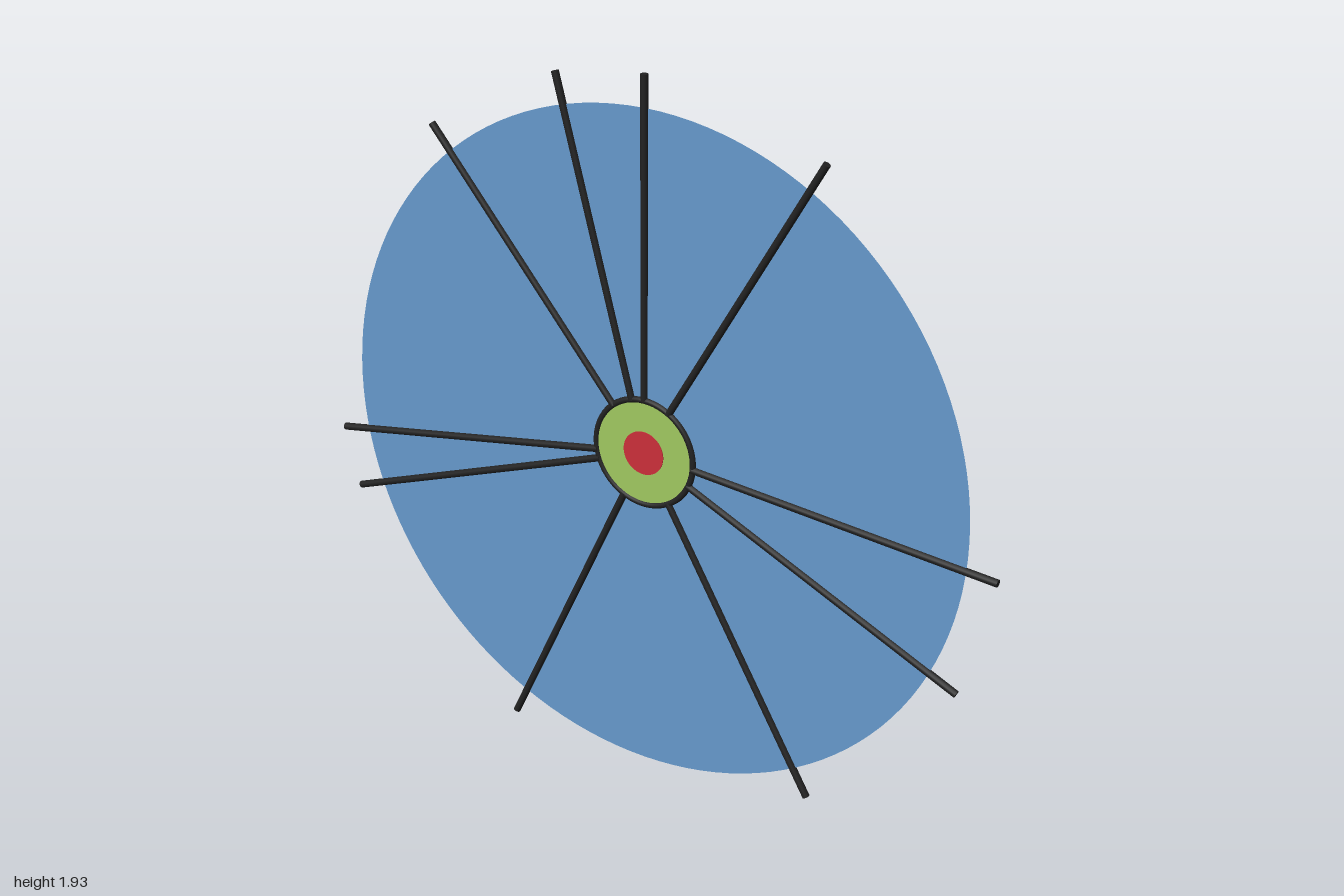
import * as THREE from 'three';

const mat = (color, side = THREE.FrontSide) => new THREE.MeshStandardMaterial({ color, side });

export function createModel() {
  const model = new THREE.Group();
  model.name = 'spokedDisc';
  const wheel = new THREE.Group();
  wheel.name = 'wheel';
  wheel.position.set(-0.006, 0.9225, 0);
  model.add(wheel);

  const add = (name, geometry, material) => {
    const mesh = new THREE.Mesh(geometry, material);
    mesh.name = name;
    wheel.add(mesh);
    return mesh;
  };
  // flat round plate between two depths, facing +z
  const plate = (radius, back, front) =>
    new THREE.CylinderGeometry(radius, radius, front - back, 64)
      .rotateX(Math.PI / 2)
      .translate(0, 0, (back + front) / 2);

  const dark = mat(0x222222);

  // paper-thin main disc
  add('disc', new THREE.CircleGeometry(0.9225, 128), mat(0x6699cc, THREE.DoubleSide));

  // hub with its centre dot and rim
  add('hub', plate(0.15, -0.0083, 0.004), mat(0xa0c860));
  add('centreDot', plate(0.06, -0.0095, 0.006), mat(0xcc2f3a));
  add('hubRing', new THREE.TorusGeometry(0.147, 0.0085, 12, 64), dark);

  // spokes from the hub ring to just beyond the disc edge
  const inner = 0.145, outer = 1.0075;
  const spokeGeometry = new THREE.CylinderGeometry(0.01, 0.01, outer - inner, 12)
    .rotateZ(-Math.PI / 2)
    .translate((inner + outer) / 2, 0, 0);
  for (const degrees of [-60, -25, -5, 60, 90, 105, 130, 190, 200, 245]) {
    add('spoke', spokeGeometry, dark).rotation.z = THREE.MathUtils.degToRad(degrees);
  }
  return model;
}
